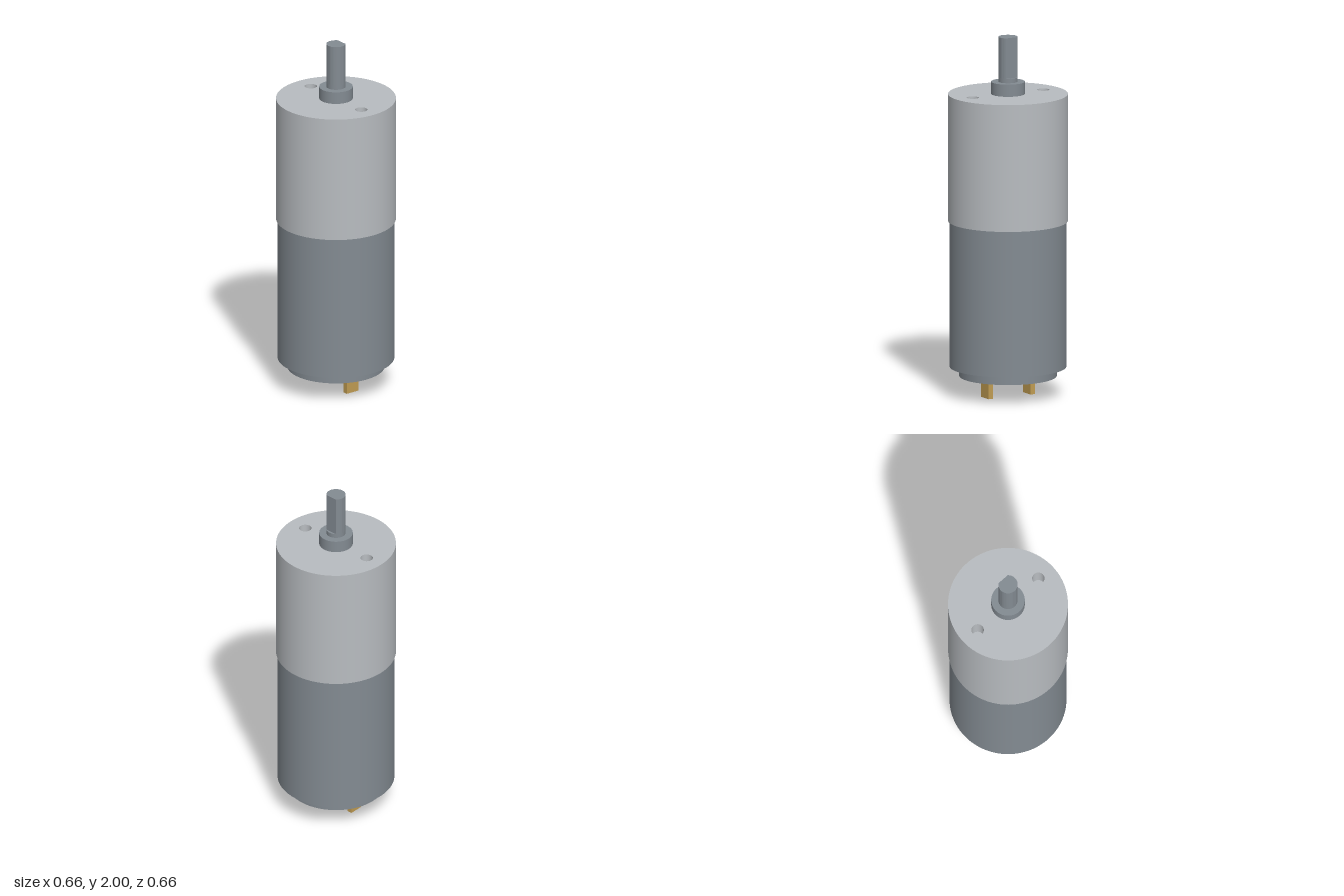
import * as THREE from 'three';
import { mergeGeometries, toCreasedNormals } from 'three/addons/utils/BufferGeometryUtils.js';

const SEGMENTS = 96;

// Turned part with sharp edges: one lathe band per profile segment.
// A profile that rises faces outward, one that falls faces inward.
function turned(profile) {
  const bands = [];
  for (let i = 0; i < profile.length - 1; i++) {
    const pair = [profile[i], profile[i + 1]].map(([r, y]) => new THREE.Vector2(r, y));
    bands.push(new THREE.LatheGeometry(pair, SEGMENTS));
  }
  return mergeGeometries(bands);
}

export function createModel() {
  const model = new THREE.Group();
  model.name = 'gearMotor';

  const material = (name, color) => {
    const m = new THREE.MeshStandardMaterial({ color });
    m.name = name;
    return m;
  };
  const lightSteel = material('lightSteel', 0xb8bcc0);
  const darkSteel = material('darkSteel', 0x838b92);
  const brass = material('brass', 0xc09c52);

  const add = (name, geometry, mat, parent = model) => {
    const mesh = new THREE.Mesh(geometry, mat);
    mesh.name = name;
    parent.add(mesh);
    return mesh;
  };

  // Motor can with the stepped end cap below it
  add('motorCan', turned([[0.267, 0.163], [0.32, 0.163], [0.32, 0.975]]), darkSteel);
  add('endCap', turned([[0, 0.11], [0.267, 0.11], [0.267, 0.163]]), darkSteel);

  // Brass terminals
  for (const side of [-1, 1]) {
    const terminal = add(side < 0 ? 'rightTerminal' : 'leftTerminal',
      new THREE.BoxGeometry(0.028, 0.112, 0.08), brass);
    terminal.position.set(side * 0.133, 0.056, 0);
  }

  // Gearbox: housing wall, drilled face plate and blind mounting holes
  const gearbox = new THREE.Group();
  gearbox.name = 'gearbox';
  model.add(gearbox);
  const top = 1.682, holeX = 0.224, holeR = 0.034;
  add('gearboxHousing', turned([[0.318, 0.975], [0.328, 0.975], [0.328, top]]), lightSteel, gearbox);

  const plate = new THREE.Shape().absarc(0, 0, 0.328, 0, Math.PI * 2);
  for (const side of [-1, 1]) {
    plate.holes.push(new THREE.Path().absarc(side * holeX, 0, holeR, 0, Math.PI * 2, true));
    const hole = add(side < 0 ? 'rightMountingHole' : 'leftMountingHole',
      turned([[holeR, top], [holeR, top - 0.12], [0, top - 0.12]]), lightSteel, gearbox);
    hole.position.x = side * holeX;
  }
  add('gearboxFace', new THREE.ShapeGeometry(plate, SEGMENTS / 2).rotateX(-Math.PI / 2),
    lightSteel, gearbox).position.y = top;

  // Output boss and the round root of the shaft
  const shaftR = 0.053, flatStart = 1.775, flatZ = 0.04;
  add('outputBoss', turned([[0.092, top], [0.092, 1.75], [0, 1.75]]), darkSteel);
  add('shaftRoot', turned([[shaftR, 1.75], [shaftR, flatStart], [0, flatStart]]), darkSteel);

  // D-shaped shaft, its flat facing the back
  const a = Math.asin(flatZ / shaftR);
  const dShape = new THREE.Shape().absarc(0, 0, shaftR, Math.PI - a, Math.PI * 2 + a, false);
  dShape.closePath();
  const shaft = new THREE.ExtrudeGeometry(dShape,
    { depth: 2 - flatStart, bevelEnabled: false, curveSegments: 64 });
  shaft.rotateX(-Math.PI / 2);
  add('shaft', toCreasedNormals(shaft, 0.4), darkSteel).position.y = flatStart;

  return model;
}
